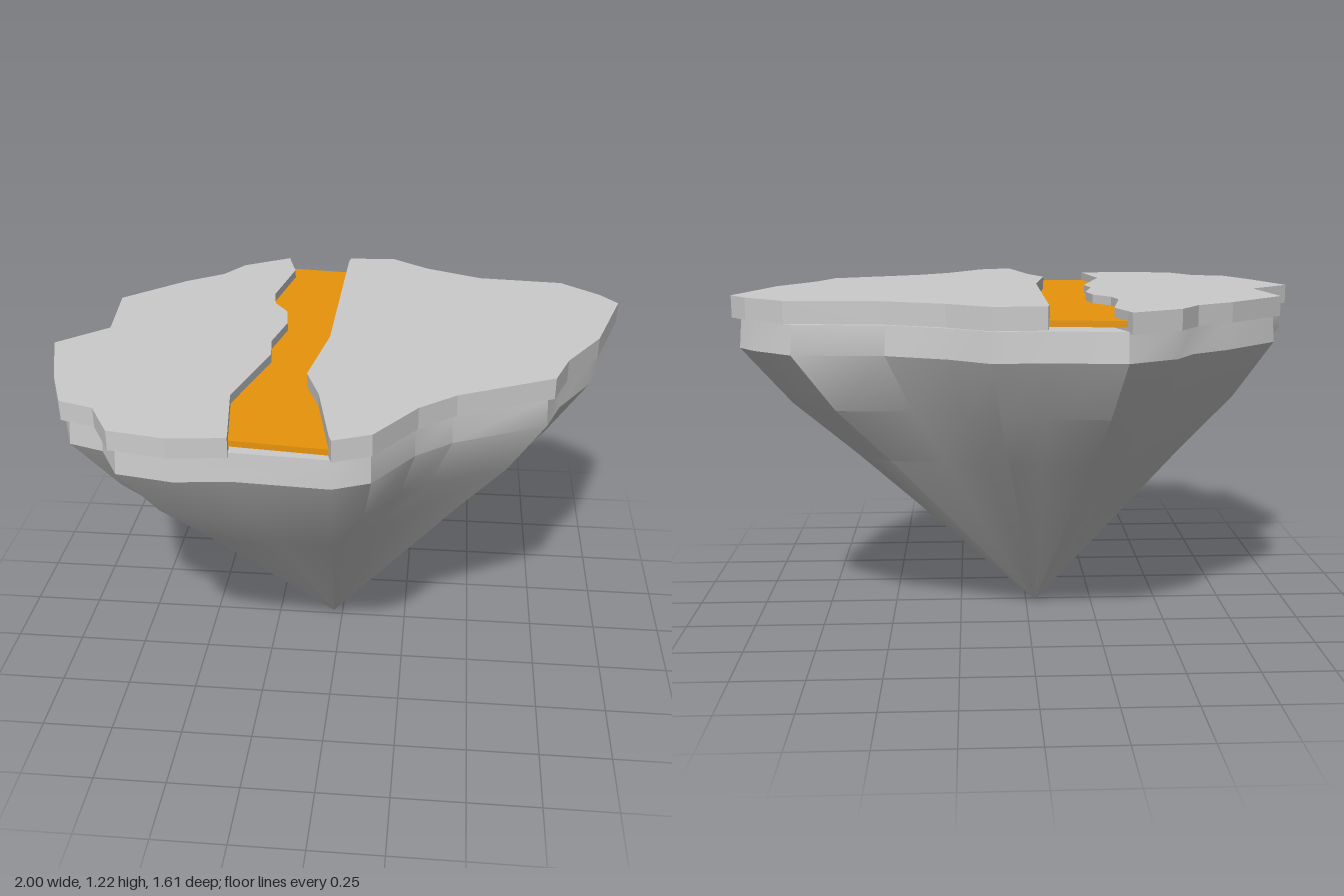
import * as THREE from 'three';
import { toCreasedNormals } from 'three/addons/utils/BufferGeometryUtils.js';

// Plan outlines as [x, z]
const leftRim = [[-0.29, -0.81], [-0.46, -0.71], [-0.53, -0.6], [-0.66, -0.51], [-0.87, -0.31],
  [-0.84, -0.02], [-1, 0.13], [-0.92, 0.4], [-0.85, 0.58], [-0.73, 0.62], [-0.65, 0.765],
  [-0.46, 0.8], [-0.275, 0.78]];
const leftBank = [[-0.28, 0.74], [-0.315, 0.49], [-0.23, 0.16], [-0.245, 0.05], [-0.21, -0.12],
  [-0.225, -0.23], [-0.28, -0.31], [-0.295, -0.4], [-0.25, -0.67], [-0.28, -0.77]];
const rightRim = [[0.04, 0.8], [0.16, 0.75], [0.29, 0.56], [0.41, 0.46], [0.73, 0.305],
  [0.78, 0.16], [0.9, -0.04], [1, -0.38], [0.94, -0.46], [0.8, -0.575], [0.49, -0.6],
  [0.28, -0.69], [0.14, -0.79], [-0.035, -0.78]];
const rightBank = [[-0.04, -0.745], [-0.04, 0.03], [-0.085, 0.34], [-0.03, 0.49], [0.03, 0.77]];

const toShape = (points) => new THREE.Shape(points.map(([x, z]) => new THREE.Vector2(x, -z)));

// Flat plate with a plan outline, between two heights
function plate(name, points, bottom, top, material) {
  const geometry = new THREE.ExtrudeGeometry(toShape(points), { depth: top - bottom, bevelEnabled: false });
  geometry.rotateX(-Math.PI / 2).translate(0, bottom, 0);
  const mesh = new THREE.Mesh(geometry, material);
  mesh.name = name;
  return mesh;
}

// Rock sides: the rim outline shrinks through the levels to a point
function rockGeometry(rim) {
  const tip = [-0.035, -0.02];
  const levels = [[1.138, 0.972], [1.04, 0.98], [0.84, 0.825], [0.64, 0.62], [0, 0]]; // [height, scale]
  const n = rim.length;
  const positions = [];
  const indices = [];
  for (const [y, s] of levels) {
    for (const [x, z] of rim) {
      positions.push(tip[0] + (x - tip[0]) * s, y, tip[1] + (z - tip[1]) * s);
    }
  }
  for (let k = 0; k < levels.length - 1; k++) {
    for (let i = 0; i < n; i++) {
      const a = k * n + i, b = k * n + (i + 1) % n;
      indices.push(a, a + n, b);
      if (k < levels.length - 2) indices.push(b, a + n, b + n);
    }
  }
  // Flat cap on the top ring
  const cap = THREE.ShapeUtils.triangulateShape(rim.map(([x, z]) => new THREE.Vector2(x, -z)), []);
  cap.forEach((face) => indices.push(...face));
  const geometry = new THREE.BufferGeometry();
  geometry.setAttribute('position', new THREE.Float32BufferAttribute(positions, 3));
  geometry.setIndex(indices);
  return toCreasedNormals(geometry, Math.PI / 6);
}

export function createModel() {
  const group = new THREE.Group();
  group.name = 'floatingIsland';
  const grey = new THREE.MeshStandardMaterial({ color: 0xcccccc });
  const orange = new THREE.MeshStandardMaterial({ color: 0xe8940c });

  // Tapering rock underside
  const rock = new THREE.Mesh(rockGeometry([...leftRim, ...rightRim]), grey);
  rock.name = 'rockBase';
  group.add(rock);

  // Two ground slabs on either side of the path, the left one (+x) a little higher
  group.add(plate('rightGround', [...leftRim, ...leftBank], 1.132, 1.2, grey));
  group.add(plate('leftGround', [...rightRim, ...rightBank], 1.143, 1.217, grey));

  // Winding path between the slabs
  group.add(plate('path', [...leftBank, ...rightBank], 1.15, 1.17, orange));
  return group;
}
